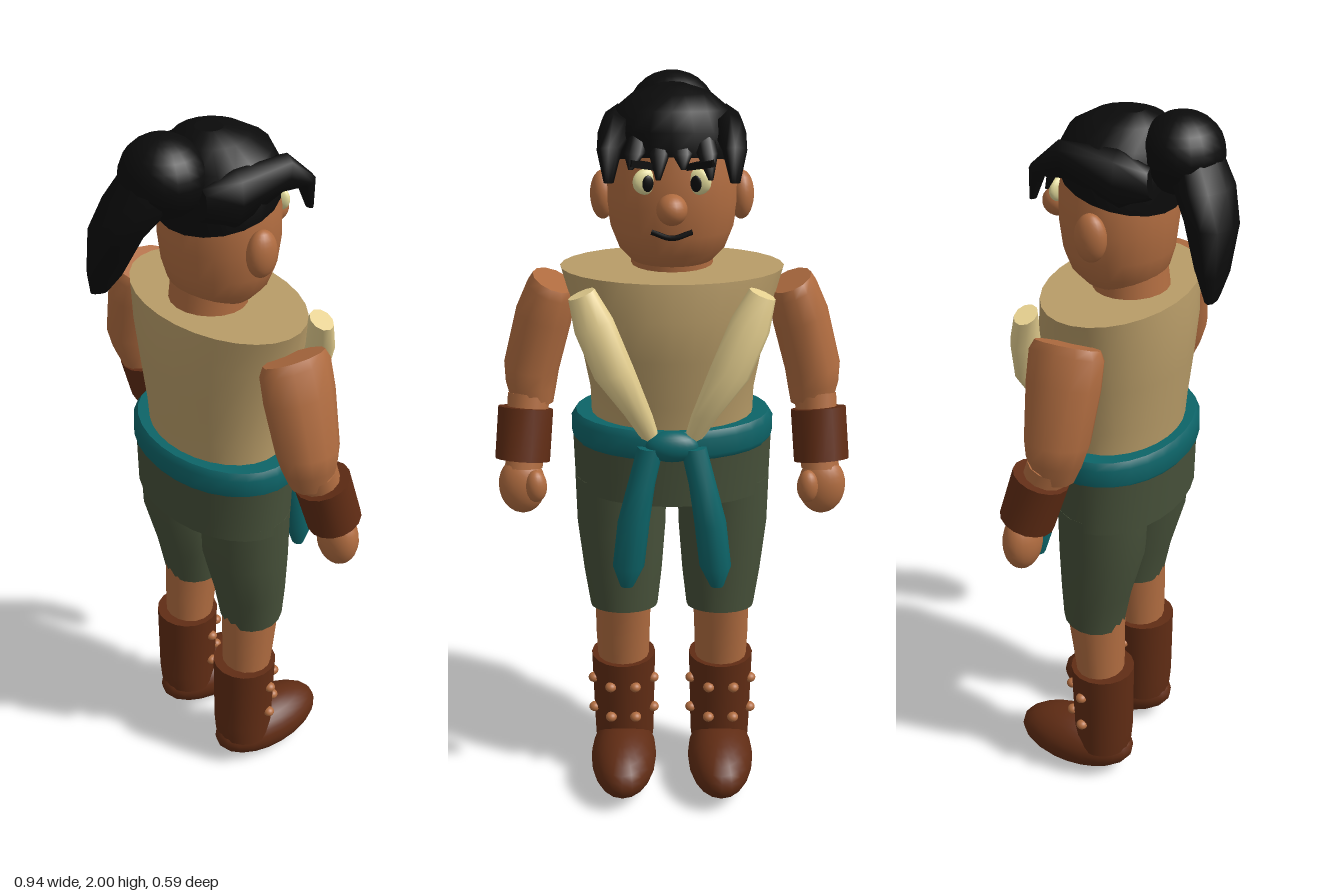
import * as THREE from 'three';

const mat = (name, color) => {
  const m = new THREE.MeshStandardMaterial({ color });
  m.name = name;
  return m;
};

// Closed solid through tilted elliptical rings, listed bottom to top:
// [x, y, z, radiusX, radiusZ, tiltX, tiltZ]; m = -1 mirrors it
function loft(sections, sides = 16, m = 1) {
  const pos = [], index = [], v = new THREE.Vector3(), e = new THREE.Euler();
  const ring = ([x, y, z, rx, rz, tx = 0, tz = 0]) => {
    e.set(tx, 0, m * tz);
    for (let j = 0; j < sides; j++) {
      const t = (j / sides) * Math.PI * 2;
      v.set(rx * Math.cos(t), 0, rz * Math.sin(t)).applyEuler(e);
      pos.push(m * x + v.x, y + v.y, z + v.z);
    }
  };
  sections.forEach(ring);
  for (let i = 0; i < sections.length - 1; i++) {
    for (let j = 0; j < sides; j++) {
      const a = i * sides + j, b = i * sides + ((j + 1) % sides);
      index.push(a, a + sides, b, b, a + sides, b + sides);
    }
  }
  // End caps with their own vertices keep the rims sharp
  [sections[0], sections[sections.length - 1]].forEach((s, top) => {
    const start = pos.length / 3;
    ring(s);
    pos.push(m * s[0], s[1], s[2]);
    for (let j = 0; j < sides; j++) {
      const a = start + j, b = start + ((j + 1) % sides);
      if (top) index.push(start + sides, b, a);
      else index.push(start + sides, a, b);
    }
  });
  const g = new THREE.BufferGeometry();
  g.setAttribute('position', new THREE.Float32BufferAttribute(pos, 3));
  g.setIndex(index);
  g.computeVertexNormals();
  return g;
}

export function createModel() {
  const model = new THREE.Group();
  model.name = 'figure';
  const skin = mat('skin', 0xb06c40);
  const hair = mat('black', 0x0b0b0b);
  const tunic = mat('tan cloth', 0xb89c68);
  const cream = mat('cream cloth', 0xe6d090);
  const teal = mat('teal cloth', 0x0d6468);
  const green = mat('green cloth', 0x465039);
  const leather = mat('brown leather', 0x602c14);
  const eyeWhite = mat('eye white', 0xe4dc9c);

  const add = (name, geometry, material) => {
    const mesh = new THREE.Mesh(geometry, material);
    mesh.name = name;
    model.add(mesh);
    return mesh;
  };
  const ball = (name, material, [x, y, z], [rx, ry, rz], rot = [0, 0, 0]) => {
    const mesh = add(name, new THREE.SphereGeometry(1, 20, 14), material);
    mesh.position.set(x, y, z);
    mesh.scale.set(rx, ry, rz);
    mesh.rotation.set(...rot);
    return mesh;
  };

  // Trunk
  add('torso', loft([
    [0, 1.1, -0.03, 0.215, 0.155], [0, 1.2, -0.03, 0.217, 0.165],
    [0, 1.33, -0.035, 0.24, 0.185], [0, 1.44, -0.035, 0.262, 0.194],
    [0, 1.535, -0.03, 0.288, 0.182]], 28), tunic);
  add('hips', loft([
    [0, 0.92, -0.02, 0.264, 0.172], [0, 1.08, -0.02, 0.268, 0.176]], 28), green);
  add('sash', loft([
    [0, 1.058, -0.025, 0.26, 0.178], [0, 1.075, -0.025, 0.27, 0.19],
    [0, 1.12, -0.025, 0.27, 0.19], [0, 1.138, -0.025, 0.258, 0.178]], 28), teal);
  ball('sashKnot', teal, [0, 1.1, -0.205], [0.07, 0.042, 0.035]);

  // Head
  add('neck', loft([
    [0, 1.5, 0, 0.107, 0.1], [0, 1.6, -0.01, 0.104, 0.098]], 20), skin);
  add('head', loft([
    [0, 1.555, -0.03, 0.105, 0.095], [0, 1.59, -0.033, 0.137, 0.124],
    [0, 1.64, -0.035, 0.156, 0.14], [0, 1.71, -0.035, 0.166, 0.148],
    [0, 1.79, -0.035, 0.165, 0.148], [0, 1.88, -0.035, 0.145, 0.13]], 24), skin);
  ball('nose', skin, [0, 1.722, -0.208], [0.038, 0.038, 0.042]);
  const smile = new THREE.CatmullRomCurve3([
    new THREE.Vector3(-0.05, 1.658, -0.172), new THREE.Vector3(0, 1.645, -0.183),
    new THREE.Vector3(0.05, 1.658, -0.172)]);
  add('mouth', new THREE.TubeGeometry(smile, 10, 0.007, 6), hair);

  // Hair
  add('hairCap', loft([
    [0, 1.8, -0.03, 0.17, 0.152, 0.28], [0, 1.87, -0.028, 0.172, 0.154, 0.2],
    [0, 1.93, -0.02, 0.145, 0.135, 0.12], [0, 1.97, -0.01, 0.095, 0.09, 0.06],
    [0, 1.988, -0.005, 0.035, 0.035]], 20), hair);
  ball('bun', hair, [0, 1.9, 0.13], [0.112, 0.1, 0.105]);
  add('ponytail', loft([
    [-0.1, 1.59, 0.258, 0.03, 0.018, 0, 0.35], [-0.085, 1.65, 0.25, 0.05, 0.042],
    [-0.055, 1.76, 0.233, 0.075, 0.066], [-0.02, 1.84, 0.195, 0.095, 0.075],
    [0, 1.92, 0.16, 0.08, 0.06]], 10), hair);
  [-0.085, -0.025, 0.03, 0.09].forEach((x, i) => add('fringe', loft([
    [x * 1.1, 1.79 + (i % 2) * 0.025, -0.188, 0.006, 0.005],
    [x, 1.85, -0.168, 0.026, 0.016], [x * 0.8, 1.92, -0.11, 0.026, 0.02, 0.6]], 6), hair));

  // Paired parts
  for (const m of [1, -1]) {
    const side = m > 0 ? 'left' : 'right';
    const pair = (name, sections, sides, material) =>
      add(side + name, loft(sections, sides, m), material);
    const pairBall = (name, material, [x, y, z], r, rot) =>
      ball(side + name, material, [m * x, y, z], r, rot);

    // Face
    pairBall('Ear', skin, [0.175, 1.718, -0.03], [0.032, 0.062, 0.042]);
    pairBall('Eye', eyeWhite, [0.063, 1.782, -0.169], [0.034, 0.032, 0.016], [0, m * 0.35, 0]);
    pairBall('Pupil', hair, [0.058, 1.78, -0.184], [0.014, 0.02, 0.005], [0, m * 0.3, 0]);
    const brow = add(side + 'Brow', new THREE.BoxGeometry(0.075, 0.016, 0.02), hair);
    brow.position.set(m * 0.065, 1.823, -0.175);
    brow.rotation.set(0, m * 0.35, m * 0.2);
    pair('HairLock', [
      [0.152, 1.785, -0.195, 0.012, 0.008], [0.15, 1.86, -0.18, 0.03, 0.022, 0.5],
      [0.14, 1.89, -0.11, 0.04, 0.05, 1.2], [0.135, 1.86, 0.03, 0.045, 0.075, 1.5],
      [0.1, 1.85, 0.095, 0.025, 0.04, 1.5]], 8, hair);

    // Open collar flap and hanging sash end
    pair('Lapel', [
      [0.045, 1.09, -0.185, 0.02, 0.015], [0.085, 1.19, -0.215, 0.036, 0.026],
      [0.145, 1.31, -0.23, 0.052, 0.034, 0, -0.3], [0.195, 1.43, -0.21, 0.052, 0.036, 0, -0.4],
      [0.225, 1.505, -0.188, 0.036, 0.03, 0, -0.4]], 10, cream);
    pair('SashEnd', [
      [0.12, 0.708, -0.235, 0.018, 0.015], [0.115, 0.77, -0.238, 0.042, 0.036],
      [0.1, 0.9, -0.235, 0.042, 0.04], [0.08, 1.0, -0.225, 0.036, 0.036],
      [0.055, 1.1, -0.205, 0.034, 0.03]], 10, teal);

    // Arm
    pair('UpperArm', [
      [0.372, 1.16, -0.045, 0.055, 0.058, 0.2], [0.375, 1.21, -0.037, 0.067, 0.074, 0.1, 0.1],
      [0.372, 1.26, -0.03, 0.073, 0.085, 0, 0.15], [0.335, 1.4, -0.028, 0.074, 0.098, 0, 0.3],
      [0.312, 1.47, -0.03, 0.066, 0.1, 0, 0.38], [0.306, 1.493, -0.03, 0.058, 0.088, 0, 0.4]],
      12, skin);
    pair('Forearm', [
      [0.395, 1.0, -0.118, 0.05, 0.045, 0.3], [0.38, 1.19, -0.05, 0.056, 0.058, 0.3]], 12, skin);
    pair('Cuff', [
      [0.398, 1.022, -0.11, 0.073, 0.072, 0.3, 0.08], [0.388, 1.155, -0.07, 0.073, 0.074, 0.3, 0.08]],
      16, leather);
    pairBall('Hand', skin, [0.4, 0.955, -0.125], [0.063, 0.08, 0.049]);
    pairBall('Thumb', skin, [0.36, 0.965, -0.158], [0.029, 0.045, 0.029]);

    // Leg and boot
    pair('ShortsLeg', [
      [0.135, 0.555, -0.055, 0.094, 0.086, 0.16], [0.137, 0.66, -0.045, 0.108, 0.097, 0.08],
      [0.14, 0.8, -0.025, 0.122, 0.118], [0.14, 0.95, -0.022, 0.125, 0.122]], 18, green);
    pair('Shin', [
      [0.14, 0.34, -0.035, 0.072, 0.066], [0.14, 0.46, -0.042, 0.076, 0.075],
      [0.138, 0.57, -0.05, 0.078, 0.084]], 16, skin);
    pair('BootShaft', [
      [0.14, 0.1, -0.028, 0.084, 0.08], [0.14, 0.16, -0.028, 0.086, 0.086],
      [0.14, 0.382, -0.03, 0.091, 0.091]], 18, leather);
    pairBall('Foot', leather, [0.14, 0.085, -0.118], [0.094, 0.085, 0.18]);
    for (const y of [0.21, 0.31]) {
      for (const t of [-1.25, -0.4, 0.4, 1.25]) {
        pairBall('BootStud', skin,
          [0.14 + 0.09 * Math.sin(t), y, -0.03 - 0.09 * Math.cos(t)], [0.016, 0.014, 0.016]);
      }
    }
  }
  return model;
}
